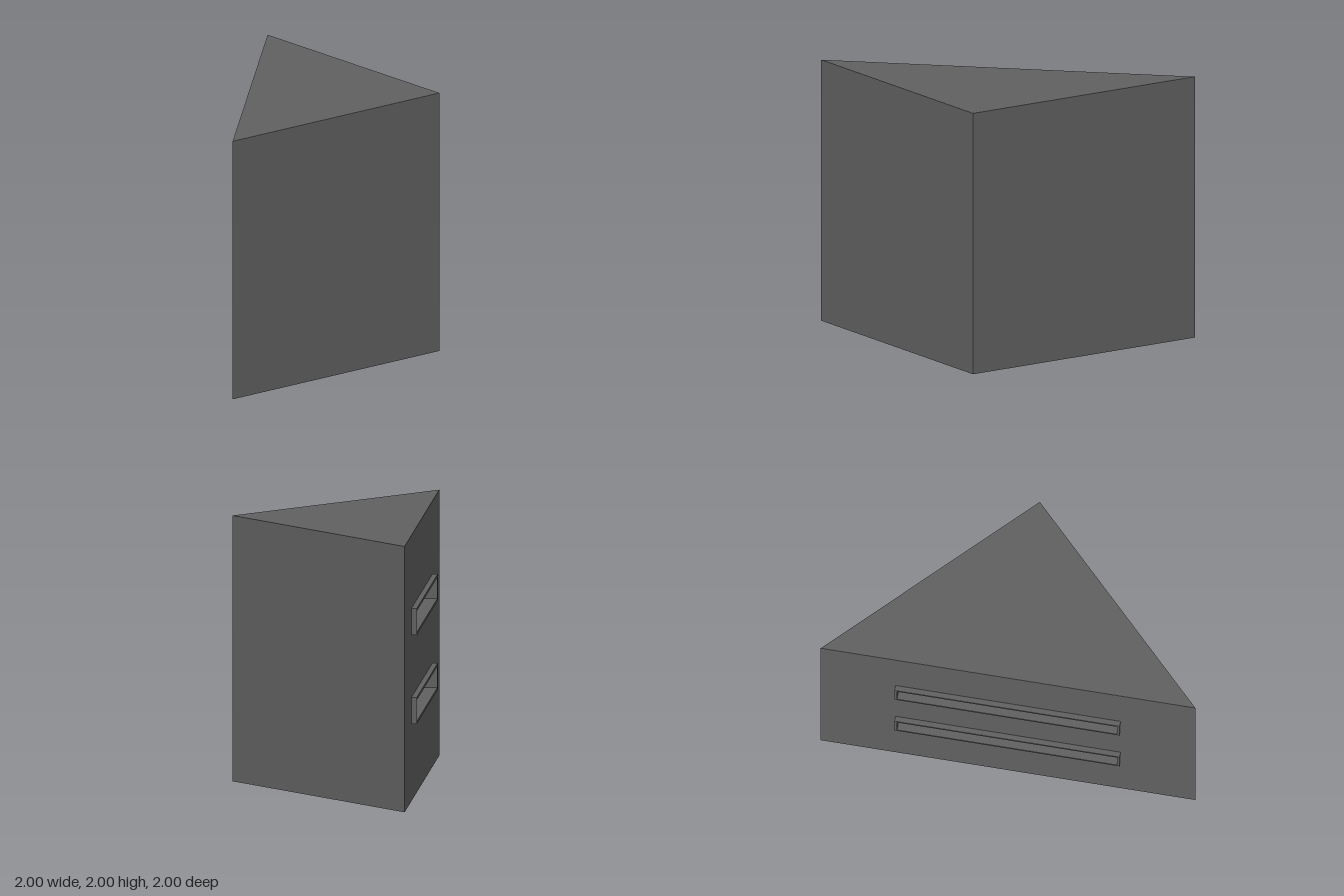
import * as THREE from 'three';

export function createModel() {
  const model = new THREE.Group();
  const wallGrey = new THREE.MeshStandardMaterial({ color: 0x606060 });
  const glassBlue = new THREE.MeshStandardMaterial({ color: 0x323f50 });
  wallGrey.name = 'wallGrey';
  glassBlue.name = 'glassBlue';

  function add(parent, name, geometry, material = wallGrey) {
    const mesh = new THREE.Mesh(geometry, material);
    mesh.name = name;
    parent.add(mesh);
    return mesh;
  }

  // Rectangle outline about a centre height
  function rect(w, h, y, Type = THREE.Shape) {
    const p = new Type();
    p.moveTo(-w / 2, y - h / 2);
    p.lineTo(w / 2, y - h / 2);
    p.lineTo(w / 2, y + h / 2);
    p.lineTo(-w / 2, y + h / 2);
    p.closePath();
    return p;
  }

  // Triangular roof and floor
  function triangle(flip) {
    return new THREE.ShapeGeometry(new THREE.Shape([
      new THREE.Vector2(-1, -flip), new THREE.Vector2(1, -flip), new THREE.Vector2(1, flip),
    ])).rotateX(-flip * Math.PI / 2);
  }
  add(model, 'roof', triangle(1)).position.y = 2;
  add(model, 'floor', triangle(-1));

  // Two plain square walls
  add(model, 'frontWall', new THREE.PlaneGeometry(2, 2)).position.set(0, 1, 1);
  const side = add(model, 'sideWall', new THREE.PlaneGeometry(2, 2));
  side.position.set(1, 1, 0);
  side.rotation.y = Math.PI / 2;

  // Diagonal wall with two recessed strip windows
  const facade = new THREE.Group();
  facade.name = 'diagonalFacade';
  facade.rotation.y = -3 * Math.PI / 4;
  model.add(facade);

  const width = 1.7, height = 0.2, border = 0.02, proud = 0.04, recess = 0.1;
  const innerW = width - 2 * border, innerH = height - 2 * border;
  const wall = rect(2 * Math.SQRT2, 2, 1);

  for (const y of [0.68, 1.35]) {
    wall.holes.push(rect(innerW, innerH, y, THREE.Path));

    // Frame lines the recess and stands proud of the wall
    const ring = rect(width, height, y);
    ring.holes.push(rect(innerW, innerH, y, THREE.Path));
    const frame = new THREE.ExtrudeGeometry(ring, { depth: recess, bevelEnabled: false });
    add(facade, 'windowFrame', frame.translate(0, 0, proud - recess));

    const glass = add(facade, 'windowGlass', new THREE.PlaneGeometry(innerW, innerH), glassBlue);
    glass.position.set(0, y, proud - recess + 0.002);
  }
  add(facade, 'diagonalWall', new THREE.ShapeGeometry(wall));

  return model;
}
